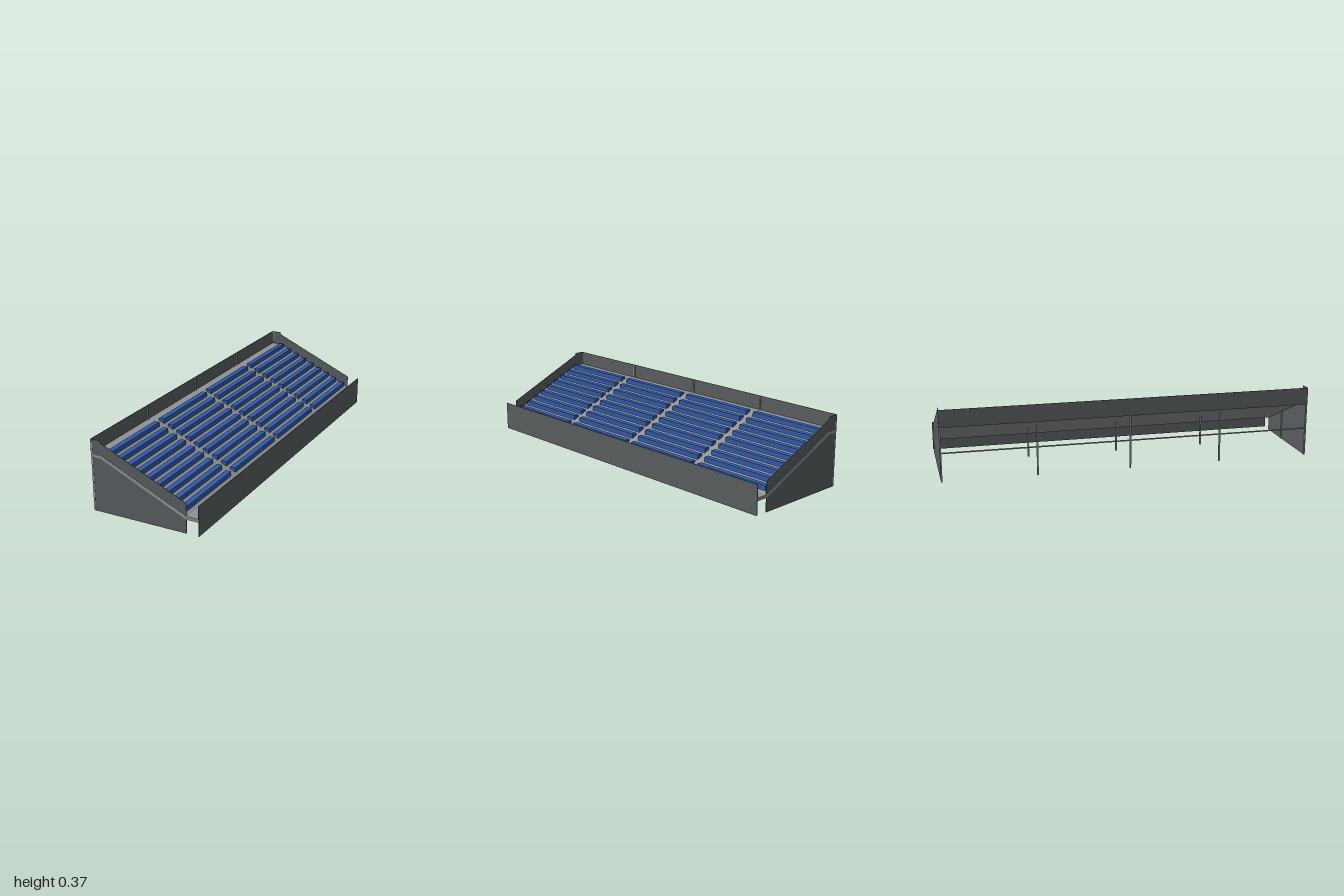
import * as THREE from 'three';

const mat = (name, color) => Object.assign(new THREE.MeshStandardMaterial({ color }), { name });

export function createModel() {
  const panelGrey = mat('panel grey', 0x595d5f);
  const deckGrey = mat('deck grey', 0x8f9194);
  const steelGrey = mat('steel grey', 0x999b9e);
  const seatBlue = mat('seat blue', 0x3059a8);

  const root = new THREE.Group();
  root.name = 'grandstand';
  const stand = new THREE.Group();
  stand.name = 'stand';
  stand.rotation.y = -THREE.MathUtils.degToRad(5);
  root.add(stand);

  const HX = 0.291, HZ = 0.978; // half width and half length

  const add = (name, geometry, material) => {
    const mesh = new THREE.Mesh(geometry, material);
    mesh.name = name;
    stand.add(mesh);
  };
  // box from minimum and maximum corners
  const box = (name, material, x0, x1, y0, y1, z0, z1) => {
    const g = new THREE.BoxGeometry(x1 - x0, y1 - y0, z1 - z0);
    g.translate((x0 + x1) / 2, (y0 + y1) / 2, (z0 + z1) / 2);
    add(name, g, material);
  };
  // side profile extruded along the length of the stand
  const profile = (name, material, points, z0, z1) => {
    const shape = new THREE.Shape(points.map(([x, y]) => new THREE.Vector2(x, y)));
    const g = new THREE.ExtrudeGeometry(shape, { depth: z1 - z0, bevelEnabled: false });
    g.translate(0, 0, z0);
    add(name, g, material);
  };

  // sloping deck slab, its edges showing just outside the end panels
  profile('deck', deckGrey, [
    [-HX, 0.283], [-0.238, 0.283], [0.224, 0.073], [HX, 0.073],
    [HX, 0.089], [0.228, 0.089], [-0.235, 0.298], [-HX, 0.298],
  ], -HZ, HZ);

  // end panels
  const endProfile = [
    [-HX, 0], [0.226, 0], [0.226, 0.155], [-0.236, 0.362], [-0.236, 0.374], [-HX, 0.374],
  ];
  profile('leftEndPanel', panelGrey, endProfile, HZ - 0.004, HZ - 0.001);
  profile('rightEndPanel', panelGrey, endProfile, -HZ + 0.001, -HZ + 0.004);

  // low front wall and high back wall
  box('frontWall', panelGrey, HX - 0.002, HX + 0.001, 0, 0.155, -HZ, HZ);
  box('backWall', panelGrey, -HX - 0.001, -HX + 0.002, 0.283, 0.374, -HZ, HZ);

  // support columns and the rail tying the rear ones together
  for (let i = -2; i <= 2; i++) {
    const z = i * 0.487;
    box('rearColumn', steelGrey, -HX, -HX + 0.008, 0, 0.373, z - 0.004, z + 0.004);
    const zf = i * 0.486;
    box('frontColumn', steelGrey, 0.027, 0.035, 0, 0.166, zf - 0.004, zf + 0.004);
  }
  box('rearRail', steelGrey, -0.290, -0.284, 0.147, 0.153, -HZ + 0.004, HZ - 0.004);

  // nine rows of benches in four blocks, with aisles between
  for (let row = 0; row < 9; row++) {
    const x = -0.2025 + row * 0.0515, y = 0.308 - row * 0.0232;
    for (let block = 0; block < 4; block++) {
      const z = (block - 1.5) * 0.489;
      box('bench', seatBlue, x - 0.03, x, y - 0.026, y, z - 0.222, z + 0.222);
    }
  }
  return root;
}
